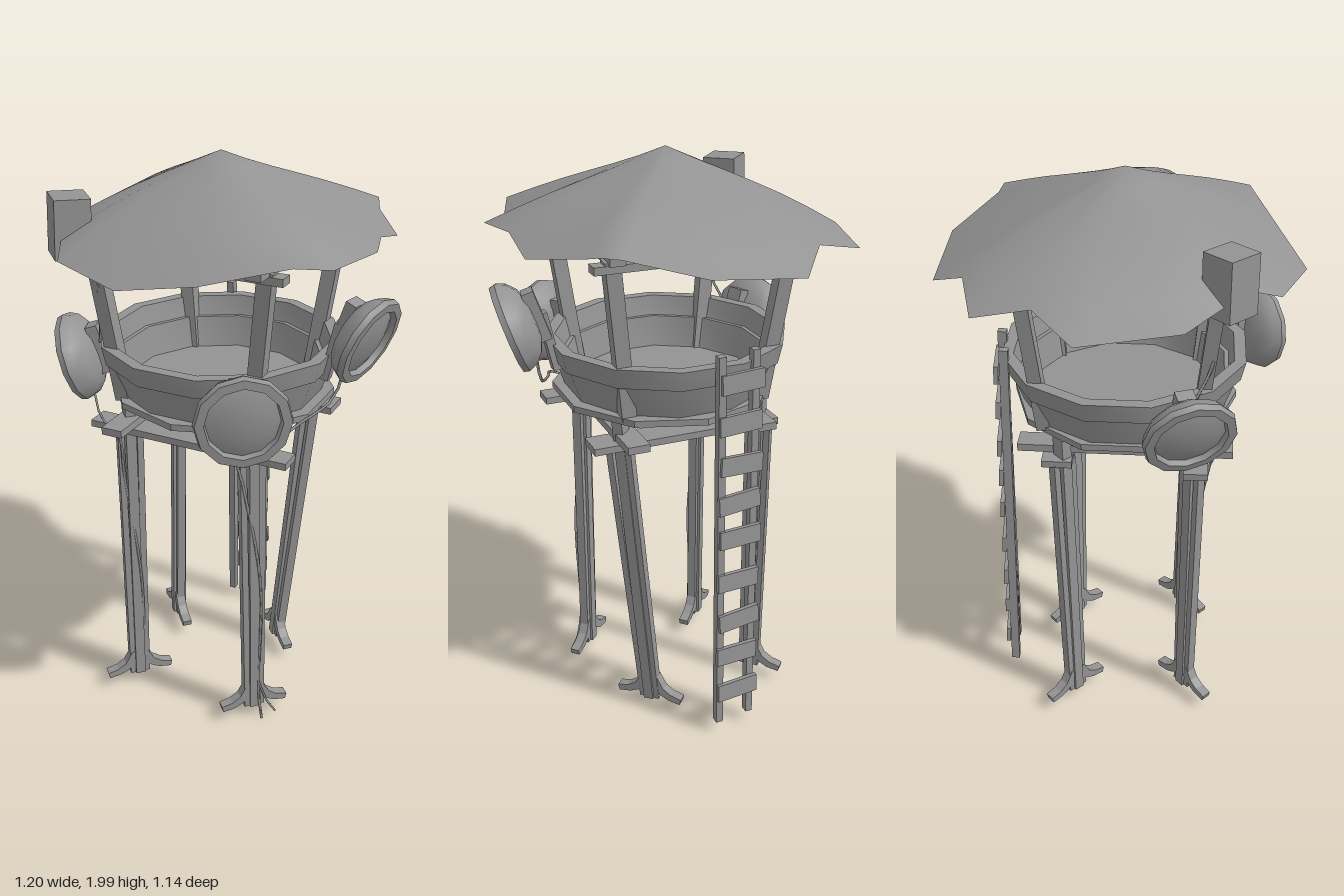
import * as THREE from 'three';
import { toCreasedNormals } from 'three/addons/utils/BufferGeometryUtils.js';

const V = (x, y, z) => new THREE.Vector3(x, y, z);

export function createModel() {
  const root = new THREE.Group();
  const color = 0x939393;
  const flat = new THREE.MeshStandardMaterial({ color, flatShading: true, side: THREE.DoubleSide });
  const smooth = new THREE.MeshStandardMaterial({ color, side: THREE.DoubleSide });

  const add = (name, geo, parent = root, mat = flat) => {
    const m = new THREE.Mesh(geo, mat);
    m.name = name;
    parent.add(m);
    return m;
  };
  const box = (name, w, h, d, x, y, z, parent = root) => {
    const m = add(name, new THREE.BoxGeometry(w, h, d), parent);
    m.position.set(x, y, z);
    return m;
  };
  // Plank running between two points, turned about its own length
  const plank = (name, a, b, w, d, turn = 0, parent = root) => {
    const m = add(name, new THREE.BoxGeometry(w, a.distanceTo(b), d).rotateY(turn), parent);
    m.position.copy(a).add(b).multiplyScalar(0.5);
    m.quaternion.setFromUnitVectors(V(0, 1, 0), b.clone().sub(a).normalize());
    return m;
  };
  const cable = (name, pts, r = 0.005) =>
    add(name, new THREE.TubeGeometry(new THREE.CatmullRomCurve3(pts.map(p => V(...p))), 28, r, 4), root, smooth);
  // Twelve-sided turned part, smooth around and sharp at its rims
  const turned = profile =>
    toCreasedNormals(new THREE.LatheGeometry(profile.map(p => new THREE.Vector2(...p)), 12), 0.6);

  // Curved foot profile, flaring outward from the leg
  const footShape = new THREE.Shape();
  [[0, 0.15], [0.015, 0.145], [0.04, 0.1], [0.07, 0.08], [0.11, 0.07], [0.105, 0.048], [0.06, 0.055], [0.03, 0.07], [0, 0.1]]
    .forEach(([x, y], i) => (i ? footShape.lineTo(x, y) : footShape.moveTo(x, y)));
  const footGeo = new THREE.ExtrudeGeometry(footShape, { depth: 0.035, bevelEnabled: false });
  footGeo.translate(0.015, 0, -0.0175);

  // Legs: base x/z, top x/z, direction of the feet
  const legs = [
    [-0.23, 0.24, -0.23, 0.24, Math.PI / 4],
    [0.24, 0.22, 0.23, 0.24, Math.PI / 4],
    [-0.28, -0.17, -0.27, -0.19, -Math.PI / 4],
    [0.145, -0.21, 0.25, -0.21, -Math.PI / 4],
  ];
  legs.forEach(([bx, bz, tx, tz, dir]) => {
    const leg = new THREE.Group();
    leg.name = 'leg';
    root.add(leg);
    const c = Math.cos(dir), s = -Math.sin(dir);
    [-1, 0, 1].forEach(k => {
      const o = k * 0.026, q = k * 0.034;
      plank('legPlank', V(bx + c * o, 0.05, bz + s * o), V(tx + c * q, k ? 1.09 : 1.2, tz + s * q),
        k ? 0.022 : 0.036, k ? 0.032 : 0.05, dir, leg);
    });
    [0, Math.PI].forEach(t => {
      const f = add('foot', footGeo, leg);
      f.position.set(bx, 0, bz);
      f.rotation.y = dir + t;
    });
  });

  // Crossed beams on top of the legs
  box('crossBeam', 0.72, 0.024, 0.08, 0.01, 1.098, 0.25);
  box('crossBeam', 0.66, 0.024, 0.1, 0.02, 1.098, -0.205);
  [-0.22, 0.23].forEach(x => box('longBeam', 0.075, 0.026, 0.71, x, 1.125, 0.015));

  // Platform floor and open tub wall with a stepped band
  const floor = add('floor', new THREE.CylinderGeometry(0.38, 0.38, 0.022, 10));
  floor.position.set(0.01, 1.2, 0);
  const tub = add('tubWall', turned([[0.345, 1.2], [0.388, 1.325], [0.4, 1.322], [0.415, 1.39],
    [0.375, 1.39], [0.36, 1.32], [0.345, 1.32], [0.325, 1.21]]), root, smooth);
  tub.rotation.y = Math.PI / 12;

  // Roof posts, top frame and rafters
  [[-1, 1], [1, 1], [-1, -1], [1, -1]].forEach(([sx, sz]) => {
    plank('roofPost', V(sx * 0.235, 1.2, sz * 0.25), V(sx * 0.3, 1.74, sz * 0.3), 0.05, 0.045);
    plank('rafter', V(sx * 0.3, 1.75, sz * 0.3), V(0, 1.95, 0), 0.03, 0.03);
  });
  [-1, 1].forEach(s => {
    box('frameBeam', 0.7, 0.025, 0.05, 0.01, 1.715, s * 0.3);
    box('frameBeam', 0.05, 0.025, 0.72, s * 0.29, 1.74, 0.02);
  });

  // Ragged sheet roof: rim outline (x, y, z) drawn in from the apex in rings
  const rim = [
    [-0.21, 1.70, -0.575], [0.10, 1.73, -0.575], [0.32, 1.78, -0.455], [0.38, 1.79, -0.445], [0.41, 1.77, -0.37],
    [0.53, 1.74, -0.2], [0.53, 1.78, -0.03], [0.57, 1.78, 0.12], [0.48, 1.745, 0.235], [0.42, 1.79, 0.4],
    [0.17, 1.73, 0.5], [-0.06, 1.705, 0.57], [-0.31, 1.73, 0.48], [-0.36, 1.77, 0.38], [-0.54, 1.72, 0.2],
    [-0.6, 1.70, -0.105], [-0.5, 1.76, -0.23], [-0.485, 1.72, -0.41], [-0.31, 1.76, -0.46],
  ];
  const n = rim.length, rings = 6, pos = [0, 2, 0], idx = [];
  for (let r = 1; r <= rings; r++) {
    const t = r / rings;
    rim.forEach(([x, y, z]) => {
      const even = 0.53 / Math.hypot(x, z);
      const k = t * THREE.MathUtils.lerp(even, 1, t * t);
      pos.push(x * k, 2 - 0.23 * t + (y - 1.77) * t * t + 0.025 * Math.sin(Math.PI * t) * t, z * k);
    });
  }
  for (let i = 0; i < n; i++) {
    const j = (i + 1) % n;
    idx.push(0, 1 + j, 1 + i);
    for (let r = 0; r < rings - 1; r++) {
      const a = 1 + r * n + i, b = 1 + r * n + j;
      idx.push(a, b, a + n, b, b + n, a + n);
    }
  }
  const roofGeo = new THREE.BufferGeometry();
  roofGeo.setAttribute('position', new THREE.Float32BufferAttribute(pos, 3));
  roofGeo.setIndex(idx);
  roofGeo.computeVertexNormals();
  add('roof', roofGeo, root, smooth);

  // Box on the roof edge
  const crate = box('roofBox', 0.115, 0.19, 0.115, -0.365, 1.795, 0.325);
  crate.rotation.set(0.03, Math.PI / 4, -0.06);

  // Round lamps with a domed back: centre and facing direction
  const bodyGeo = turned([[0, -0.06], [0.06, -0.055], [0.11, -0.037], [0.14, -0.01], [0.153, 0.02],
    [0.148, 0.04], [0.12, 0.042], [0.115, 0.022]]).rotateX(Math.PI / 2);
  const lensGeo = turned([[0.116, 0.022], [0.08, 0.034], [0.04, 0.04], [0, 0.042]]).rotateX(Math.PI / 2);
  [
    [V(0.285, 1.315, 0.435), V(0.55, -0.05, 0.84)],
    [V(0.505, 1.465, 0.015), V(0.92, -0.33, 0.2)],
    [V(-0.41, 1.315, 0.22), V(-0.88, -0.3, 0.32)],
  ].forEach(([p, d]) => {
    const lamp = new THREE.Group();
    lamp.name = 'lamp';
    lamp.position.copy(p);
    lamp.lookAt(p.clone().add(d));
    root.add(lamp);
    add('lampBody', bodyGeo, lamp, smooth);
    add('lampLens', lensGeo, lamp, smooth);
    box('lampBracket', 0.06, 0.17, 0.04, 0, 0.01, -0.065, lamp);
  });
  plank('lampArm', V(0.385, 1.3, 0.01), V(0.43, 1.5, 0.01), 0.03, 0.04);

  // Ladder at the back
  const ladder = new THREE.Group();
  ladder.name = 'ladder';
  root.add(ladder);
  plank('ladderRail', V(-0.145, 0.05, -0.42), V(-0.145, 1.43, -0.385), 0.025, 0.03, 0, ladder);
  plank('ladderRail', V(-0.022, 0.05, -0.435), V(-0.015, 1.43, -0.41), 0.025, 0.03, 0, ladder);
  [0.18, 0.33, 0.47, 0.625, 0.79, 0.92, 1.055, 1.2, 1.34].forEach((y, i) => {
    const rung = box('rung', 0.155, 0.065, 0.016, -0.088 + 0.006 * (i % 2), y, -0.45 + 0.022 * y, ladder);
    rung.rotation.set(0.06, 0.1, 0.05 * Math.sin(i * 2.3));
  });

  // Hanging cables
  cable('lampCable', [[0.45, 1.34, 0.02], [0.43, 1.25, 0.05], [0.36, 1.2, 0.2], [0.31, 1.16, 0.33], [0.2, 1.11, 0.3],
    [0.21, 1.02, 0.28], [0.27, 0.6, 0.24], [0.265, 0.12, 0.23], [0.285, 0.006, 0.24]]);
  cable('cableEnd', [[0.265, 0.16, 0.23], [0.29, 0.07, 0.21], [0.32, 0.025, 0.2]]);
  cable('lampCable', [[-0.36, 1.22, 0.25], [-0.3, 1.13, 0.3], [-0.24, 1.09, 0.3], [-0.24, 0.9, 0.27], [-0.2, 0.5, 0.25], [-0.22, 0.04, 0.22]]);
  cable('postCable', [[-0.33, 1.38, 0.24], [-0.3, 1.46, 0.28], [-0.29, 1.55, 0.3], [-0.28, 1.63, 0.31], [-0.31, 1.72, 0.31]]);
  return root;
}
